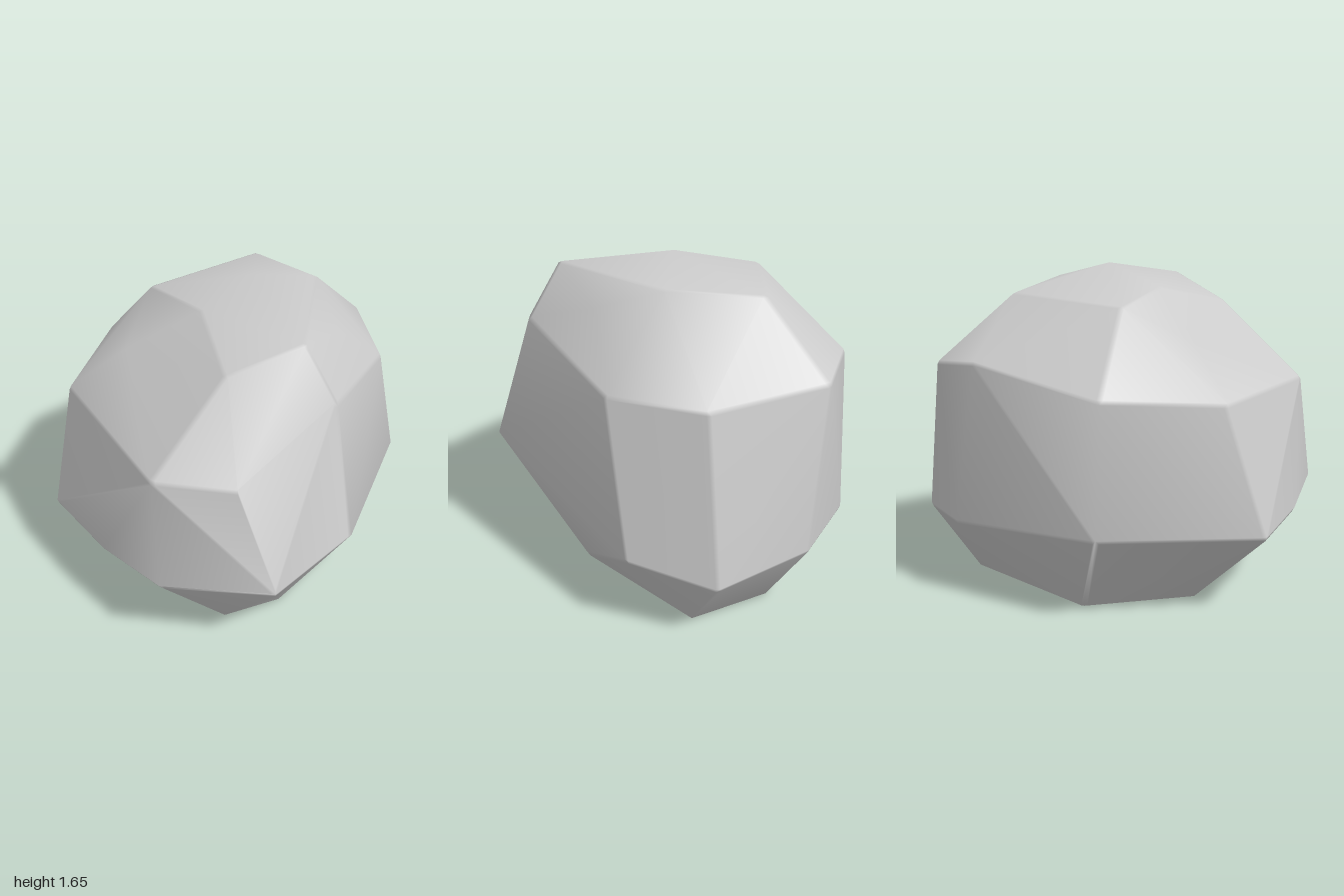
import * as THREE from 'three';
import { ConvexGeometry } from 'three/addons/geometries/ConvexGeometry.js';
import { mergeVertices } from 'three/addons/utils/BufferGeometryUtils.js';

// Corners of the boulder, ring by ring from the ground up
const base = [
  [-0.57, 0, -0.1], [-0.34, 0, 0.45], [-0.2, 0, 0.61], [0.12, 0, 0.56], [0.47, 0, 0.27],
  [0.8, 0, -0.43], [0.5, 0, -0.71], [-0.3, 0, -0.6],
];
const belly = [
  [-0.99, 0.42, -0.03], [-0.79, 0.42, 0.4], [-0.55, 0.47, 0.79], [-0.03, 0.52, 1.01],
  [0.4, 0.63, 0.81], [0.99, 0.4, -0.17], [0.97, 0.33, -0.6], [0.6, 0.38, -0.93],
  [0.2, 0.41, -1.01], [-0.57, 0.45, -0.73],
];
const shoulder = [
  [-0.85, 1.06, -0.17], [-0.55, 1.04, 0.69], [-0.18, 1.03, 0.83], [0.35, 1.3, 0.61],
  [0.8, 1.14, 0], [0.83, 1.15, -0.5], [0.42, 1.18, -0.95], [0.08, 1.22, -0.95],
  [-0.56, 1.1, -0.69],
];
const crown = [
  [-0.55, 1.3, -0.1], [-0.37, 1.25, 0.47], [-0.15, 1.44, 0.49], [0.22, 1.56, 0.49],
  [0.48, 1.44, 0.2], [0.47, 1.56, -0.17], [0.26, 1.51, -0.6], [-0.36, 1.48, -0.4],
  [-0.17, 1.54, 0.02], [0.12, 1.65, -0.09],
];

// Hull of small balls set just inside every corner: flat facets with soft edges
function softHull(corners, radius) {
  const ball = new THREE.OctahedronGeometry(radius, 1).attributes.position;
  const centre = new THREE.Vector3(0, 0.75, 0);
  const points = [];
  for (const corner of corners) {
    const p = new THREE.Vector3(...corner);
    p.addScaledVector(centre.clone().sub(p).normalize(), radius * 1.15);
    if (corner[1] === 0) p.y = radius;
    for (let i = 0; i < ball.count; i++) {
      points.push(new THREE.Vector3().fromBufferAttribute(ball, i).add(p));
    }
  }
  const hull = new ConvexGeometry(points);
  hull.deleteAttribute('normal');
  const geometry = mergeVertices(hull, 1e-4);
  geometry.computeVertexNormals();
  return geometry;
}

export function createModel() {
  const group = new THREE.Group();
  group.name = 'rock';
  const boulder = new THREE.Mesh(
    softHull([...base, ...belly, ...shoulder, ...crown], 0.03),
    new THREE.MeshStandardMaterial({ color: 0xcccccc }),
  );
  boulder.name = 'boulder';
  group.add(boulder);
  return group;
}
